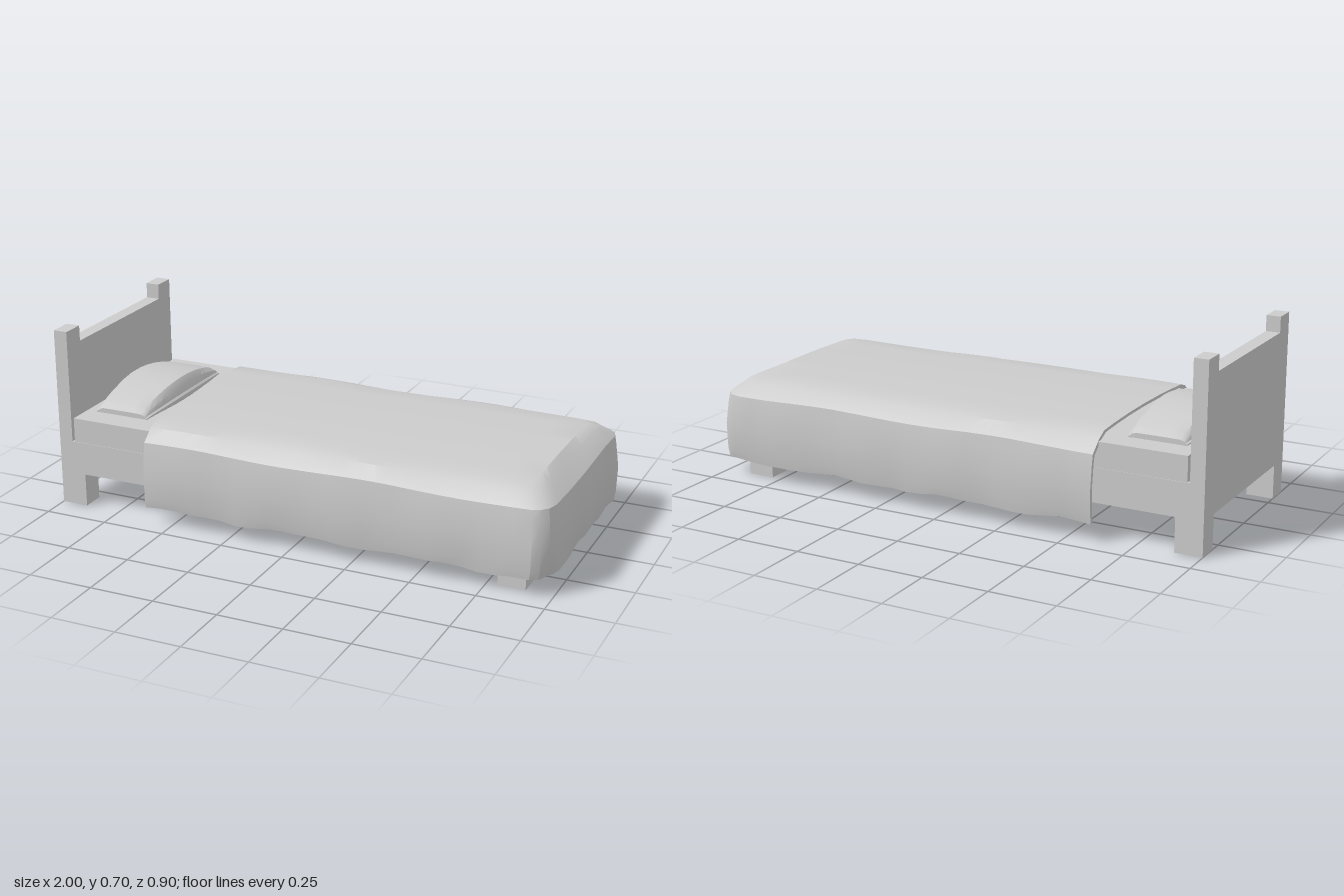
import * as THREE from 'three';
import { toCreasedNormals } from 'three/addons/utils/BufferGeometryUtils.js';

const material = new THREE.MeshStandardMaterial({ color: 0xcccccc });
const clothMaterial = new THREE.MeshStandardMaterial({ color: 0xcccccc, side: THREE.DoubleSide });

function addBox(parent, name, [x0, x1], [y0, y1], [z0, z1]) {
  const mesh = new THREE.Mesh(new THREE.BoxGeometry(x1 - x0, y1 - y0, z1 - z0), material);
  mesh.position.set((x0 + x1) / 2, (y0 + y1) / 2, (z0 + z1) / 2);
  mesh.name = name;
  parent.add(mesh);
}

// Skin a grid of points (rows x cols); extra holds further index triples
function skin(rows, extra, crease) {
  const cols = rows[0].length, index = [...extra];
  for (let i = 0; i < rows.length - 1; i++) {
    for (let j = 0; j < cols - 1; j++) {
      const a = i * cols + j, b = a + cols;
      index.push(a, b, b + 1, a, b + 1, a + 1);
    }
  }
  const geo = new THREE.BufferGeometry();
  geo.setAttribute('position', new THREE.Float32BufferAttribute(rows.flat(2), 3));
  geo.setIndex(index);
  return toCreasedNormals(geo, crease);
}

// Headboard: panel between two taller posts, cut as one board
function makeHeadboard() {
  const outline = [[-0.39, 0.13], [0.39, 0.13], [0.39, 0.7], [0.3, 0.7],
    [0.3, 0.64], [-0.3, 0.64], [-0.3, 0.7], [-0.39, 0.7]];
  const shape = new THREE.Shape(outline.map(([z, y]) => new THREE.Vector2(z, y)));
  const geo = new THREE.ExtrudeGeometry(shape, { depth: 0.055, bevelEnabled: false });
  geo.rotateY(Math.PI / 2).translate(-1, 0, 0);
  return new THREE.Mesh(geo, material);
}

// Blanket: a U-shaped plan path swept up a side profile and closed over the top
function makeBlanket() {
  const path = [];
  for (let i = 0; i <= 24; i++) path.push([-0.6 + 1.53 * i / 24, 0.45]);
  path.push([0.965, 0.44], [0.988, 0.415]);
  for (let i = 0; i <= 12; i++) path.push([1, 0.37 - 0.74 * i / 12]);
  for (let i = 26; i >= 0; i--) path.push([path[i][0], -path[i][1]]);

  // Levels: [inset, height, scale towards the middle of the top]
  const levels = [[0.01, 0.065, 1], [0.004, 0.1, 1], [0, 0.2, 1], [0.008, 0.285, 1],
    [0.014, 0.325, 1], [0.065, 0.368, 1], [0.105, 0.385, 1],
    [0.105, 0, 0.75], [0.105, 0, 0.4], [0.105, 0, 0]];
  const M = levels.length;

  const point = ([px, pz], [inset, height, t], thickness, s) => {
    // Folds grow stronger towards the hem
    const drop = t === 1 ? Math.max(0, (0.36 - height) / 0.3) : 0;
    const fold = drop * (0.004 * Math.sin(s * 1.15) + 0.003 * Math.sin(s * 2.1 + height * 9));
    const cut = inset + thickness + Math.max(0, 0.004 - fold);
    const x = -0.6 + (px + 0.6) * (1.6 - cut) / 1.6 * (0.7 + 0.3 * t);
    const z = pz * (0.45 - cut) / 0.45 * t;
    let y = height;
    if (inset === 0.105) {
      y = 0.382 + 0.011 * (1 - (z / 0.345) ** 2) + 0.002 * Math.sin(x * 6 + z * 5);
      y -= thickness * 0.8;
    } else if (height > 0.3) {
      y += 0.004 * Math.sin(s * 0.55) - thickness * 0.6;
    } else if (height < 0.09) {
      y += 0.005 * Math.sin(s * 0.8) + 0.003 * Math.sin(s * 1.7);
    }
    return [x, y, z];
  };

  const rows = path.map((p, s) => [
    ...levels.map((l) => point(p, l, 0.014, s)).reverse(),
    ...levels.map((l) => point(p, l, 0, s)),
  ]);

  // Close the cloth edge at the head end
  const rim = [], L = 2 * M, last = (path.length - 1) * L;
  for (let k = 0; k < M - 1; k++) {
    const a = k + 1, b = L - 2 - k, c = L - 1 - k, d = k;
    rim.push(a, b, c, a, c, d);
    rim.push(last + a, last + c, last + b, last + a, last + d, last + c);
  }
  return new THREE.Mesh(skin(rows, rim, 0.45), clothMaterial);
}

// Pillow: domed cross-sections along z, bowed in plan, with thin flat ends
function makePillow() {
  const section = [[0, 0], [0.9, 0], [1, 0.14], [0.99, 0.3], [0.93, 0.38], [0.88, 0.7],
    [0.74, 0.97], [0.35, 1], [0, 1]];
  const loop = [...section, ...section.slice(0, -1).reverse().map(([x, y]) => [-x, y])];
  const stations = [[-0.29, 0.001], [-0.29, 0.02], [-0.272, 0.03]];
  for (let i = -6; i <= 6; i++) {
    const z = i * 0.043;
    stations.push([z, 0.036 + 0.049 * (1 - (z / 0.262) ** 2)]);
  }
  stations.push([0.272, 0.03], [0.29, 0.02], [0.29, 0.001]);
  const rows = stations.map(([z, h]) => {
    const half = 0.112 + 0.027 * (1 - (z / 0.29) ** 2);
    return loop.map(([x, y]) => [-0.78 + x * half, 0.355 + y * h, z]);
  });
  // Reverse the rows so the surface faces outward
  return new THREE.Mesh(skin(rows.reverse(), [], 0.5), clothMaterial);
}

export function createModel() {
  const bed = new THREE.Group();
  bed.name = 'bed';
  const add = (name, mesh) => {
    mesh.name = name;
    bed.add(mesh);
  };

  add('headboard', makeHeadboard());
  addBox(bed, 'frame', [-0.945, 0.895], [0.13, 0.26], [-0.39, 0.39]);
  addBox(bed, 'mattress', [-0.935, 0.895], [0.26, 0.355], [-0.388, 0.388]);

  // Four square legs
  for (const [side, z] of [['left', [-0.39, -0.3]], ['right', [0.3, 0.39]]]) {
    addBox(bed, side + 'HeadLeg', [-1, -0.895], [0, 0.13], z);
    addBox(bed, side + 'FootLeg', [0.79, 0.895], [0, 0.13], z);
  }

  add('pillow', makePillow());
  add('blanket', makeBlanket());
  return bed;
}
